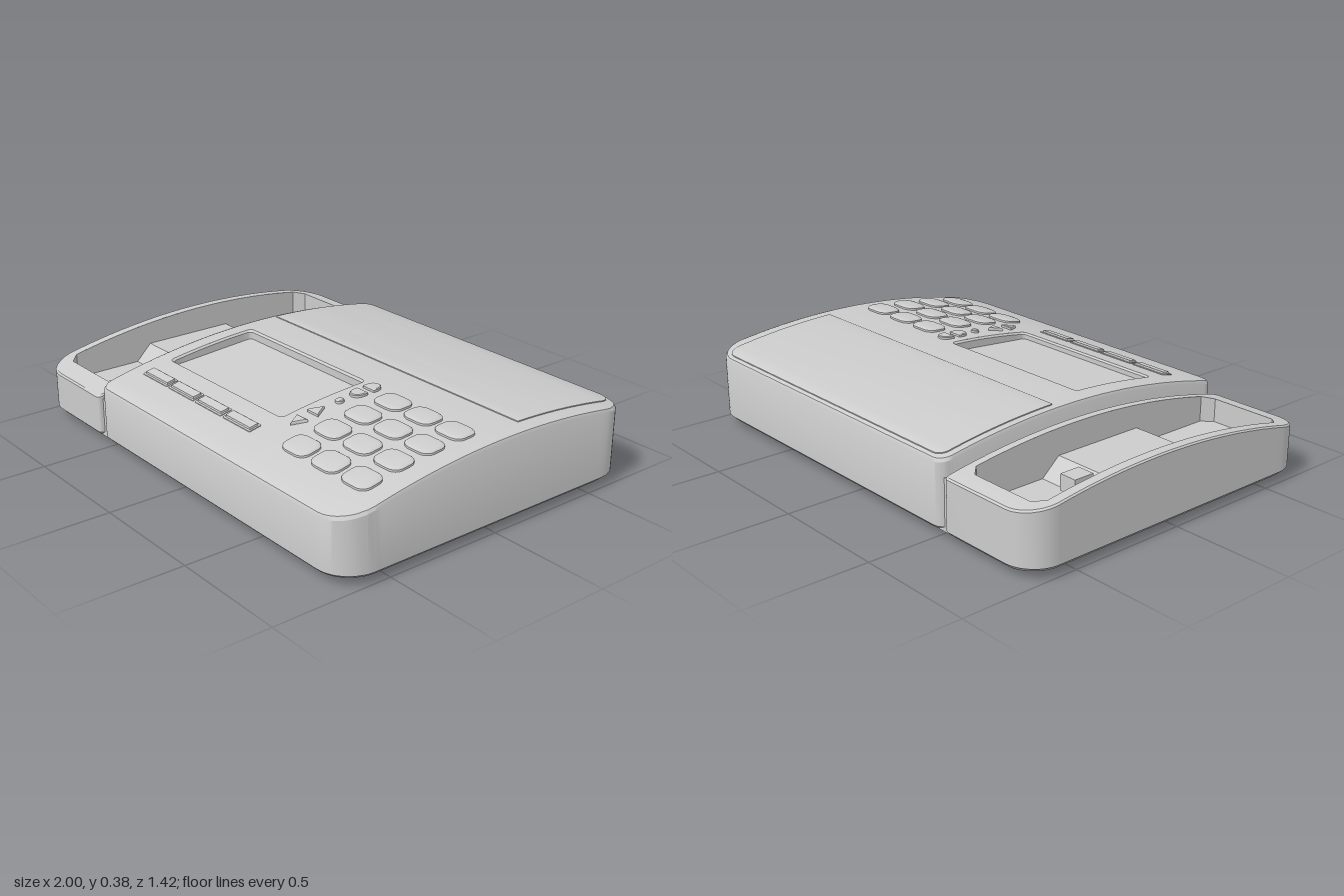
import * as THREE from 'three';
import { toCreasedNormals } from 'three/addons/utils/BufferGeometryUtils.js';

// Arched profile shared by every top surface
const arch = z => 0.366 - 0.162 * (z + 0.1) ** 2;
const above = dy => z => arch(z) + dy;
const flat = y => () => y;

// Plan region: a rectangle whose corners (back-left-x, back-right-x, front-left-x, front-right-x)
// are cut by [rx, rz], either rounded or straight
function region(x0, x1, z0, z1, corners, straight = false, extra = []) {
  const c = corners.map(r => Array.isArray(r) ? r : [r, r]);
  const cut = ([rx, rz], t) => {
    if (rz <= 0 || t >= rz) return 0;
    const u = 1 - Math.max(0, t) / rz;
    return straight ? rx * u : rx * (1 - Math.sqrt(Math.max(0, 1 - u * u)));
  };
  const span = z => [
    x0 + Math.max(cut(c[0], z - z0), cut(c[2], z1 - z)),
    x1 - Math.max(cut(c[1], z - z0), cut(c[3], z1 - z))
  ];
  let zs = [...extra];
  const mid = Math.max(4, Math.round((z1 - z0) * 18));
  for (let i = 0; i <= mid; i++) zs.push(z0 + (z1 - z0) * i / mid);
  c.forEach(([, rz], i) => {
    for (let k = 0; k <= 6; k++) {
      const t = rz * (1 - Math.cos(k * Math.PI / 12));
      zs.push(i < 2 ? z0 + t : z1 - t);
    }
  });
  zs = zs.sort((a, b) => a - b).filter((z, i, all) => i === 0 || z - all[i - 1] > 1e-5);
  return { x0, x1, z0, z1, span, zs };
}

// Solid or recess from stacked outlines [inset, heightFunction], closed by a cap with an optional hole
function shell(R, levels, { hole = null, bottom = false } = {}) {
  const out = [];
  const quad = (a, b, c, d) => out.push(...a, ...b, ...c, ...a, ...c, ...d);
  const cx = (R.x0 + R.x1) / 2, cz = (R.z0 + R.z1) / 2;
  const hx = (R.x1 - R.x0) / 2, hz = (R.z1 - R.z0) / 2;
  const top = levels[levels.length - 1];
  let zs = R.zs;
  if (hole) {
    const s = 1 - top[0] / hz;
    zs = [...zs, ...hole.zs.map(z => cz + (z - cz) / s)].sort((a, b) => a - b);
    zs = zs.filter((z, i) => i === 0 || z - zs[i - 1] > 1e-6);
  }
  const rows = ([d, h]) => zs.map(z => {
    const zz = cz + (z - cz) * (1 - d / hz);
    return R.span(z).map(x => [cx + (x - cx) * (1 - d / hx), h(zz), zz]);
  });
  const ring = rs => [...rs.map(r => r[1]), ...rs.map(r => r[0]).reverse()];
  for (let l = 0; l + 1 < levels.length; l++) {
    const lo = ring(rows(levels[l])), hi = ring(rows(levels[l + 1]));
    lo.forEach((p, i) => {
      const j = (i + 1) % lo.length;
      quad(p, hi[i], hi[j], lo[j]);
    });
  }
  const cap = rows(top);
  for (let i = 0; i + 1 < cap.length; i++) {
    const [l0, r0] = cap[i], [l1, r1] = cap[i + 1];
    const m = (l0[2] + l1[2]) / 2;
    if (hole && m > hole.z0 && m < hole.z1) {
      const a = hole.span(l0[2]), b = hole.span(l1[2]);
      const at = (x, p) => [x, p[1], p[2]];
      quad(l0, l1, at(b[0], l1), at(a[0], l0));
      quad(at(a[1], l0), at(b[1], l1), r1, r0);
    } else quad(l0, l1, r1, r0);
  }
  if (bottom) {
    const base = rows(levels[0]);
    for (let i = 0; i + 1 < base.length; i++) quad(base[i][0], base[i][1], base[i + 1][1], base[i + 1][0]);
  }
  const g = new THREE.BufferGeometry();
  g.setAttribute('position', new THREE.Float32BufferAttribute(out, 3));
  return toCreasedNormals(g, 0.5);
}

export function createModel() {
  const model = new THREE.Group();
  model.name = 'deskPhone';
  const grey = new THREE.MeshStandardMaterial({ color: 0xcccccc });
  grey.name = 'light grey plastic';
  const add = (name, geo, parent = model) => {
    const mesh = new THREE.Mesh(geo, grey);
    mesh.name = name;
    parent.add(mesh);
    return mesh;
  };
  const group = name => {
    const g = new THREE.Group();
    g.name = name;
    model.add(g);
    return g;
  };

  // Main housing with the sunken display
  const display = region(-0.46, 0.29, 0.01, 0.42, [0.02, 0.02, 0.02, 0.02]);
  const housing = region(-0.54, 1, -0.71, 0.71, [0.05, 0.14, 0.05, 0.14]);
  add('housing', shell(housing, [
    [0.02, flat(0.025)], [0, flat(0.045)], [0, above(-0.016)], [0.006, above(-0.004)], [0.018, above(0)]
  ], { hole: display, bottom: true }));
  add('display', shell(display, [
    [0, above(0)], [0.008, above(-0.008)], [0.008, z => 0.326 - 0.075 * (z - 0.01)]
  ]));

  // Raised rear panel
  const panel = region(-0.51, 0.93, -0.69, -0.16, [0.04, 0.07, 0.004, 0.004]);
  add('rearPanel', shell(panel, [[0, above(-0.01)], [0, above(0.004)], [0.004, above(0.006)]]));

  // Handset cradle: lower rim and a tray with a raised middle
  const trayFloor = z => {
    const up = THREE.MathUtils.clamp((z + 0.28) / 0.08, 0, 1);
    const down = THREE.MathUtils.clamp((0.28 - z) / 0.07, 0, 1);
    return 0.13 + 0.07 * Math.min(up, down);
  };
  const tray = region(-0.955, -0.59, -0.635, 0.62, [0.04, 0.04, 0.04, 0.04], true, [-0.28, -0.2, 0.21, 0.28]);
  const cradle = region(-1, -0.552, -0.71, 0.71, [0.13, 0.02, 0.13, 0.02]);
  add('cradle', shell(cradle, [
    [0.02, flat(0.025)], [0, flat(0.045)], [0, above(-0.061)], [0.006, above(-0.055)]
  ], { hole: tray, bottom: true }));
  add('cradleTray', shell(tray, [[0, above(-0.055)], [0, trayFloor]]));
  const hook = region(-0.81, -0.735, -0.33, -0.24, [0, 0, 0, 0]);
  add('handsetHook', shell(hook, [[0, flat(0.15)], [0, flat(0.215)]], { bottom: true }));

  // Web joining cradle and housing at the bottom of the groove
  const web = region(-0.575, -0.5, -0.69, 0.69, [0, 0, 0, 0]);
  add('joiningWeb', shell(web, [[0, flat(0.0255)], [0, above(-0.075)]], { bottom: true }));

  // Number keys
  const keypad = group('keypad');
  for (const z of [0.07, 0.215, 0.357, 0.5]) {
    for (const x of [0.515, 0.68, 0.845]) {
      const key = region(x - 0.07, x + 0.07, z - 0.053, z + 0.053, Array(4).fill([0.045, 0.036]));
      add('numberKey', shell(key, [[0, above(-0.01)], [0, above(0.008)], [0.006, above(0.013)], [0.016, above(0.015)]], {}), keypad);
    }
  }

  // Soft keys under the display, each in a low frame
  const softKeys = group('softKeys');
  for (let i = 0; i < 4; i++) {
    const x = -0.452 + i * 0.185;
    const key = region(x, x + 0.172, 0.5, 0.555, Array(4).fill(0.004));
    add('softKey', shell(key, [
      [0, above(-0.01)], [0, above(0.003)], [0.008, above(0.003)], [0.009, above(0.011)]
    ]), softKeys);
  }

  // Column of function keys: two half-rounds, a dot and two arrows
  const functionKeys = group('functionKeys');
  const x0 = 0.33, x1 = 0.394, half = [0.032, 0.036], tip = [0.032, 0.055], xm = 0.362;
  const small = [
    ['upperHalfRoundKey', region(x0, x1, 0.005, 0.06, [half, half, 0.003, 0.003])],
    ['lowerHalfRoundKey', region(x0, x1, 0.087, 0.143, [0.003, 0.003, half, half])],
    ['dotKey', region(xm - 0.017, xm + 0.017, 0.183, 0.217, Array(4).fill(0.017))],
    ['upArrowKey', region(x0, x1, 0.274, 0.329, [tip, tip, 0, 0], true)],
    ['downArrowKey', region(x0, x1, 0.377, 0.432, [0, 0, tip, tip], true)]
  ];
  for (const [name, R] of small) {
    add(name, shell(R, [[0, above(-0.01)], [0, above(0.009)], [0.004, above(0.012)]]), functionKeys);
  }

  // Four feet
  const feet = group('feet');
  for (const x of [-0.812, 0.812]) {
    for (const z of [-0.557, 0.557]) {
      add('foot', new THREE.BoxGeometry(0.135, 0.03, 0.105), feet).position.set(x, 0.015, z);
    }
  }
  return model;
}
